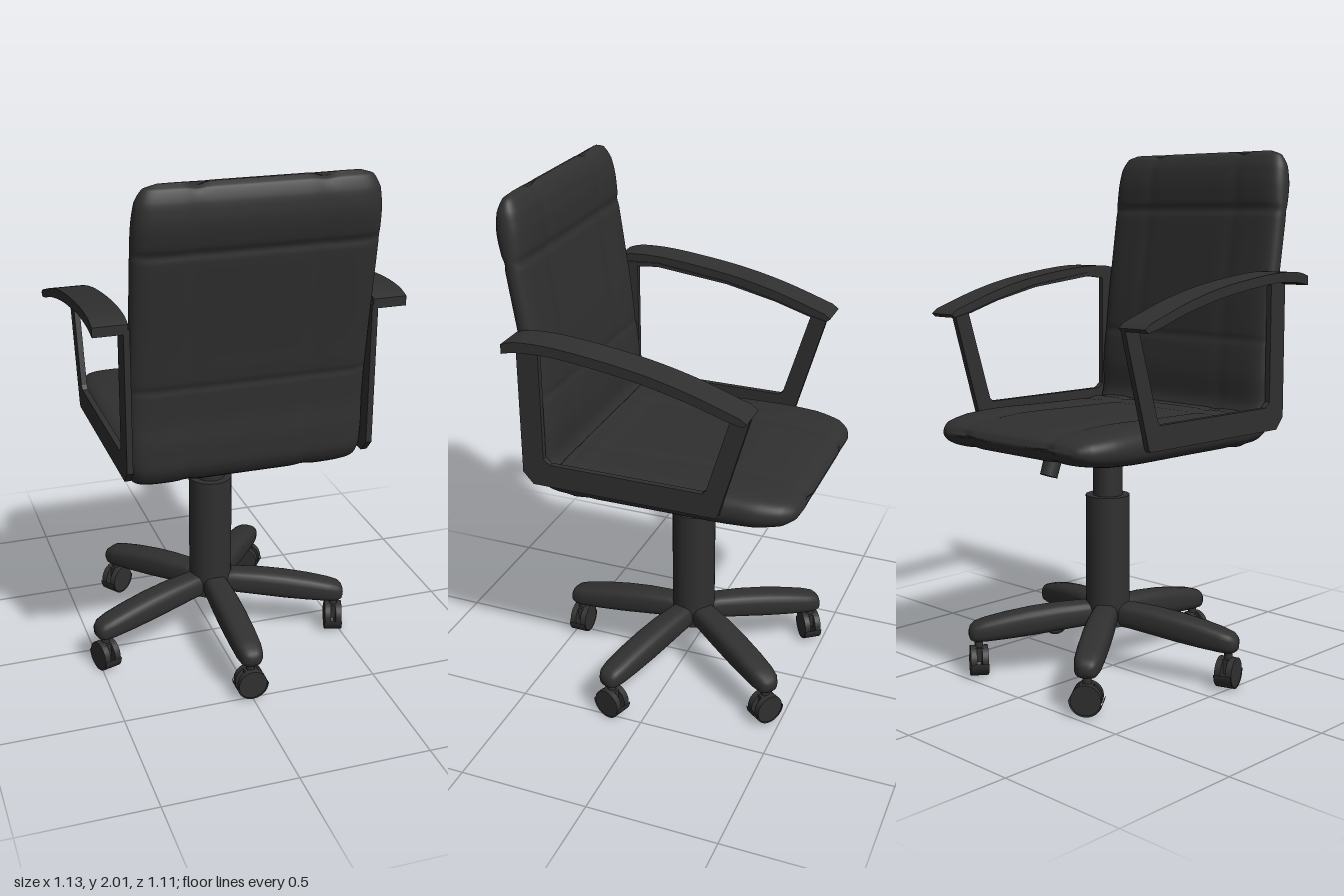
import * as THREE from 'three';

const dark = new THREE.MeshStandardMaterial({ color: 0x303030 });
const darkOpen = new THREE.MeshStandardMaterial({ color: 0x303030, side: THREE.DoubleSide });

function add(parent, name, geometry, x = 0, y = 0, z = 0, material = dark) {
  const mesh = new THREE.Mesh(geometry, material);
  mesh.name = name;
  mesh.position.set(x, y, z);
  parent.add(mesh);
  return mesh;
}

// Skin a list of closed rings (equal point counts) and cap both ends
function loft(rings) {
  const n = rings[0].length, pos = [], idx = [];
  rings.forEach(r => r.forEach(p => pos.push(p.x, p.y, p.z)));
  for (let i = 0; i < rings.length - 1; i++) {
    for (let j = 0; j < n; j++) {
      const a = i * n + j, b = i * n + (j + 1) % n;
      idx.push(a, b, a + n, b, b + n, a + n);
    }
  }
  [0, rings.length - 1].forEach((i, end) => {
    const c = new THREE.Vector3();
    rings[i].forEach(p => c.addScaledVector(p, 1 / n));
    const ci = pos.length / 3;
    pos.push(c.x, c.y, c.z);
    for (let j = 0; j < n; j++) {
      const a = i * n + j, b = i * n + (j + 1) % n;
      if (end) idx.push(ci, a, b); else idx.push(ci, b, a);
    }
  });
  const g = new THREE.BufferGeometry();
  g.setAttribute('position', new THREE.Float32BufferAttribute(pos, 3));
  g.setIndex(idx);
  g.computeVertexNormals();
  return g;
}

// Seat and backrest: one padded sheet bent along an L-shaped path
function padGeometry() {
  // [z, y, half thickness, half width]
  const rows = [
    [-0.555, 0.95, 0.004, 0.31], [-0.54, 0.95, 0.028, 0.36], [-0.5, 0.95, 0.048, 0.4],
    [-0.4, 0.95, 0.062, 0.43], [-0.25, 0.95, 0.068, 0.435], [0, 0.947, 0.065, 0.435],
    [0.2, 0.945, 0.064, 0.435], [0.31, 0.946, 0.064, 0.435], [0.38, 0.958, 0.062, 0.435],
    [0.404, 1.03, 0.046, 0.435], [0.404, 1.14, 0.044, 0.435], [0.413, 1.25, 0.04, 0.435],
    [0.416, 1.275, 0.036, 0.435], [0.42, 1.3, 0.04, 0.435], [0.435, 1.42, 0.043, 0.435],
    [0.462, 1.6, 0.045, 0.435], [0.483, 1.74, 0.046, 0.435], [0.487, 1.77, 0.041, 0.435],
    [0.492, 1.8, 0.05, 0.435], [0.502, 1.87, 0.056, 0.432], [0.508, 1.94, 0.048, 0.422],
    [0.511, 1.985, 0.028, 0.395], [0.512, 2.0, 0.004, 0.35],
  ];
  const path = new THREE.CatmullRomCurve3(rows.map(r => new THREE.Vector3(0, r[1], r[0])));
  const size = new THREE.CatmullRomCurve3(rows.map(r => new THREE.Vector3(r[2], r[3], 0)));
  const X = new THREE.Vector3(1, 0, 0), rings = [], steps = 88, sides = 112;
  for (let i = 0; i <= steps; i++) {
    const t = i / steps, c = path.getPoint(t), T = path.getTangent(t);
    const N = T.clone().cross(X), s = size.getPoint(t);
    const nearEnd = Math.max(0, 1 - t * 14) - Math.max(0, 1 - (1 - t) * 14);
    const ring = [];
    for (let k = 0; k < sides; k++) {
      const a = k / sides * Math.PI * 2, u = Math.cos(a), x = u * s.y;
      // stitched channels running along the pad
      const seam = Math.exp(-(((Math.abs(x) - 0.22) / 0.025) ** 2));
      const h = Math.max(s.x, 0.003) * Math.sqrt(Math.max(0, 1 - Math.abs(u) ** 14)) * (1 - 0.08 * seam);
      ring.push(c.clone().addScaledVector(X, x)
        .addScaledVector(N, Math.sign(Math.sin(a)) * h)
        .addScaledVector(T, 0.012 * seam * nearEnd));
    }
    rings.push(ring);
  }
  return loft(rings);
}

// Extrude a side profile given in (z, y) between two x positions
function sideExtrude(shape, x0, x1) {
  return new THREE.ExtrudeGeometry(shape, { depth: x1 - x0, bevelEnabled: false, curveSegments: 20 })
    .rotateY(-Math.PI / 2).translate(x1, 0, 0);
}

const points = list => list.map(([a, b]) => new THREE.Vector2(a, b));

function addArm(group, side) {
  const arm = new THREE.Group();
  arm.name = side > 0 ? 'leftArm' : 'rightArm';
  const [x0, x1] = side > 0 ? [0.435, 0.457] : [-0.457, -0.435];
  const [p0, p1] = side > 0 ? [0.44, 0.563] : [-0.563, -0.44];

  // Flat frame with an opening
  const frame = new THREE.Shape(points([
    [0.43, 0.94], [0.47, 0.985], [0.47, 1.51], [0.3, 1.52], [0, 1.48], [-0.2, 1.43],
    [-0.345, 1.385], [-0.41, 1.37], [-0.29, 0.95], [-0.28, 0.94]]));
  frame.holes.push(new THREE.Path(points([
    [0.36, 1.03], [0.385, 1.05], [0.385, 1.495], [0.3, 1.505], [0, 1.47], [-0.2, 1.425],
    [-0.346, 1.38], [-0.245, 1.045], [-0.23, 1.03]])));
  add(arm, 'armFrame', sideExtrude(frame, x0, x1));

  // Curved armrest
  const rest = new THREE.Shape();
  rest.moveTo(0.47, 1.495);
  rest.lineTo(0.47, 1.53);
  rest.splineThru(points([[0.4, 1.546], [0.25, 1.543], [0, 1.51], [-0.2, 1.464], [-0.4, 1.398]]));
  rest.lineTo(-0.425, 1.38);
  rest.lineTo(-0.41, 1.367);
  rest.lineTo(-0.36, 1.378);
  rest.splineThru(points([[-0.2, 1.428], [0, 1.473], [0.25, 1.507], [0.4, 1.507], [0.47, 1.495]]));
  add(arm, 'armrest', sideExtrude(rest, p0, p1));
  group.add(arm);
}

// One leg of the base, running along +z
function legGeometry() {
  // [distance, top, bottom, half width]
  const rows = [[0, 0.27, 0.175, 0.045], [0.1, 0.271, 0.172, 0.05], [0.2, 0.266, 0.16, 0.054],
    [0.3, 0.255, 0.147, 0.055], [0.4, 0.238, 0.137, 0.054], [0.48, 0.22, 0.131, 0.051],
    [0.52, 0.207, 0.131, 0.044], [0.537, 0.192, 0.138, 0.032], [0.543, 0.175, 0.152, 0.015]];
  const bend = v => Math.sign(v) * Math.abs(v) ** 0.7;
  return loft(rows.map(([d, top, bottom, w]) => Array.from({ length: 24 }, (_, k) => {
    const a = k / 24 * Math.PI * 2;
    return new THREE.Vector3(w * bend(Math.cos(a)),
      (top + bottom) / 2 + (top - bottom) / 2 * bend(Math.sin(a)), d);
  })));
}

// Twin-wheel caster with its axle along z
function makeCaster() {
  const caster = new THREE.Group();
  caster.name = 'caster';
  for (const s of [-1, 1]) {
    add(caster, 'wheel', new THREE.CylinderGeometry(0.056, 0.056, 0.024, 28).rotateX(Math.PI / 2), 0, 0.056, s * 0.022);
  }
  add(caster, 'axleBlock', new THREE.BoxGeometry(0.05, 0.055, 0.03), 0, 0.08, 0);
  const hood = new THREE.CylinderGeometry(0.062, 0.062, 0.07, 20, 1, true, -1.9, 3.1).rotateX(-Math.PI / 2);
  add(caster, 'hood', hood, 0, 0.057, 0, darkOpen).rotation.z = Math.PI - 0.35;
  add(caster, 'stem', new THREE.CylinderGeometry(0.016, 0.016, 0.06, 14), 0, 0.13, 0);
  return caster;
}

export function createModel() {
  const chair = new THREE.Group();
  chair.name = 'officeChair';
  add(chair, 'seatAndBackrest', padGeometry());
  for (const side of [-1, 1]) addArm(chair, side);

  // Tilt lever knob beneath the seat
  add(chair, 'leverKnob', new THREE.CylinderGeometry(0.035, 0.033, 0.11, 20), 0, 0.855, -0.32).rotation.x = 0.35;

  // Gas lift column and five-legged base
  const base = new THREE.Group();
  base.name = 'base';
  base.position.z = -0.028;
  for (const [name, r, y0, y1] of [['columnSleeve', 0.085, 0.18, 0.69],
    ['columnTube', 0.057, 0.69, 0.86], ['columnRod', 0.032, 0.86, 0.9]]) {
    add(base, name, new THREE.CylinderGeometry(r, r, y1 - y0, 32), 0, (y0 + y1) / 2, 0);
  }
  const legShape = legGeometry();
  for (let i = 0; i < 5; i++) {
    const spoke = new THREE.Group();
    spoke.name = 'spoke';
    spoke.rotation.y = i * Math.PI * 2 / 5;
    add(spoke, 'leg', legShape);
    const caster = makeCaster();
    caster.position.z = 0.505;
    spoke.add(caster);
    base.add(spoke);
  }
  chair.add(base);
  return chair;
}
